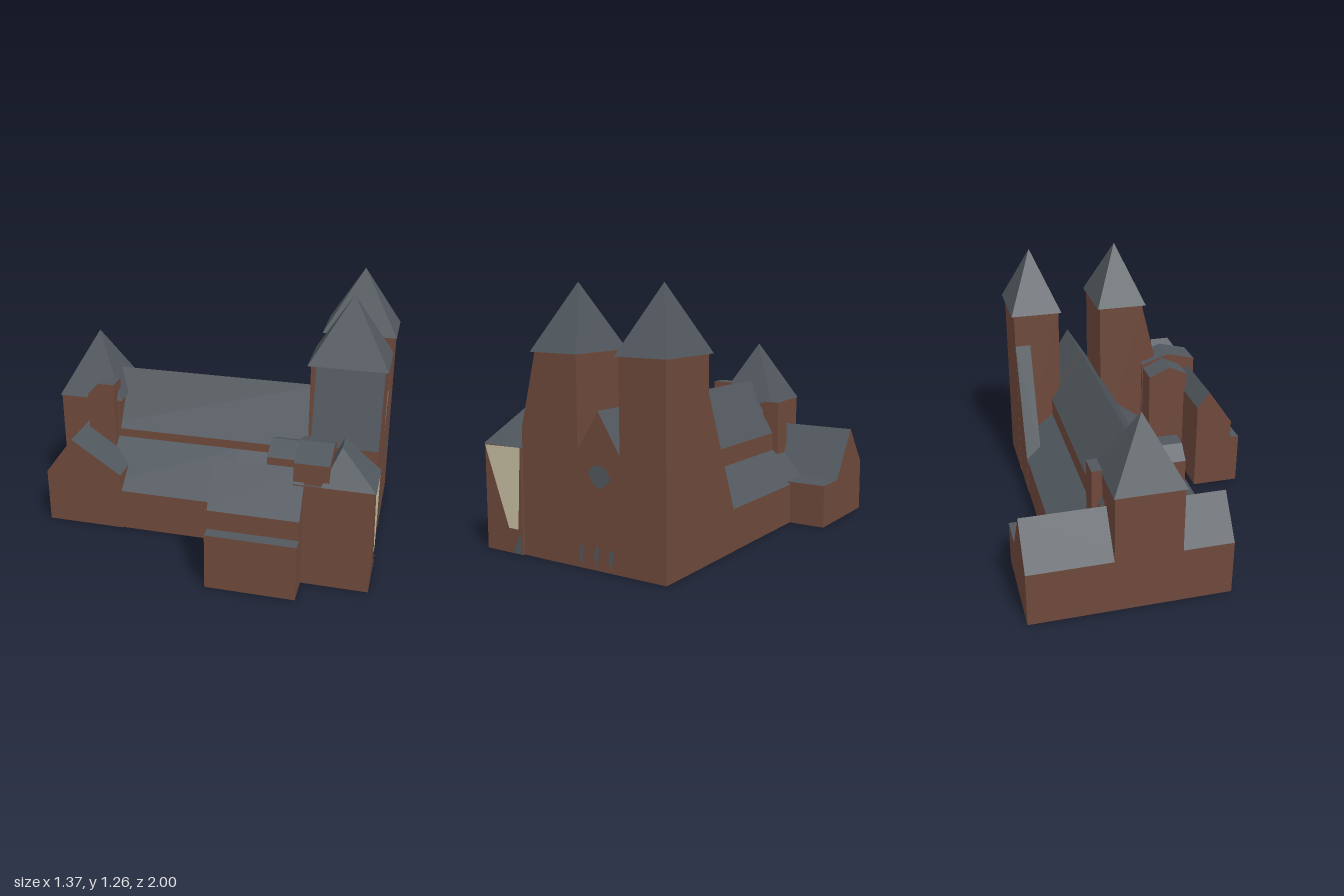
import * as THREE from 'three';

const mat = (name, color) => Object.assign(
  new THREE.MeshStandardMaterial({ color, flatShading: true, side: THREE.DoubleSide }), { name });

export function createModel() {
  const brick = mat('brick', 0x6e493c);
  const slate = mat('slate', 0x50575d);
  const cream = mat('cream stone', 0xc6bda2);
  const church = new THREE.Group();
  church.name = 'church';

  function add(name, geometry, material) {
    const mesh = new THREE.Mesh(geometry, material);
    mesh.name = name;
    church.add(mesh);
  }

  function fromTriangles(tris) {
    const g = new THREE.BufferGeometry();
    g.setAttribute('position', new THREE.Float32BufferAttribute(tris.flat(2), 3));
    g.computeVertexNormals();
    return g;
  }

  // Open-bottomed prism: the profile runs left to right over the top.
  // Vertical edges and end walls are brick, all other edges are slate.
  function prism(name, profile, from, to, along = 'z') {
    const at = (p, t) => (along === 'z' ? [p[0], p[1], t] : [t, p[1], p[0]]);
    const face = (a, b, c) => (along === 'z' ? [a, b, c] : [a, c, b]);
    const walls = [], roofs = [];
    for (let i = 0; i < profile.length - 1; i++) {
      const p = profile[i], q = profile[i + 1];
      const list = Math.abs(q[0] - p[0]) < 1e-4 ? walls : roofs;
      list.push(face(at(p, from), at(p, to), at(q, to)), face(at(p, from), at(q, to), at(q, from)));
    }
    const ring = [...profile].reverse().map(p => new THREE.Vector2(...p));
    const pt = (i, t) => at([ring[i].x, ring[i].y], t);
    for (const [a, b, c] of THREE.ShapeUtils.triangulateShape(ring, [])) {
      walls.push(face(pt(a, to), pt(b, to), pt(c, to)), face(pt(c, from), pt(b, from), pt(a, from)));
    }
    add(name + 'Walls', fromTriangles(walls), brick);
    add(name + 'Roof', fromTriangles(roofs), slate);
  }

  // Hipped roof over a rectangle; equal ridge ends give a pyramid.
  function hip(name, [x0, x1], [z0, z1], y0, [r0, r1], rz, y1) {
    const A = [x0, y0, z1], B = [x1, y0, z1], C = [x1, y0, z0], D = [x0, y0, z0];
    const R = [r0, y1, rz], S = [r1, y1, rz];
    add(name, fromTriangles([[A, B, S], [A, S, R], [B, C, S], [C, D, R], [C, R, S], [D, A, R],
      [A, D, C], [A, C, B]]), slate);
  }

  // Flat-topped block of walls
  const block = (name, [x0, x1], [z0, z1], y) =>
    prism(name, [[x0, 0], [x0, y], [x1, y], [x1, 0]], z0, z1);

  // Thin painted plate on a front wall
  function plate(name, points, z, material) {
    const g = new THREE.ShapeGeometry(new THREE.Shape(points.map(p => new THREE.Vector2(...p))));
    add(name, g.translate(0, 0, z), material);
  }

  // Twin towers with pyramid roofs
  for (const [name, cx] of [['rightTower', -0.19], ['leftTower', 0.281]]) {
    block(name, [cx - 0.12, cx + 0.12], [0.475, 0.812], 0.955);
    hip(name + 'Spire', [cx - 0.135, cx + 0.135], [0.46, 0.825], 0.955, [cx, cx], 0.643, 1.265);
  }

  // Sloping buttresses against the towers
  prism('leftTowerButtress', [[0.25, 0], [0.25, 0.21], [0.475, 0.78], [0.475, 0]], 0.32, 0.4, 'x');
  prism('rightTowerButtress', [[-0.4, 0], [-0.4, 0.6], [-0.31, 0.955], [-0.31, 0]], 0.5, 0.81);

  // Nave with gabled front between the towers
  prism('frontGable', [[-0.07, 0], [-0.07, 0.53], [0.045, 0.715], [0.161, 0.53], [0.161, 0]], 0.47, 0.812);
  prism('nave', [[-0.13, 0.3], [-0.13, 0.44], [0.04, 0.715], [0.21, 0.44], [0.21, 0.3]], -0.66, 0.475);

  // Side aisles under lean-to roofs
  prism('leftAisle', [[0.205, 0.35], [0.398, 0.205], [0.398, 0]], -0.6, 0.475);
  prism('rightAisle', [[-0.37, 0], [-0.37, 0.21], [-0.125, 0.4]], -0.6, 0.1);
  prism('rightAisleEnd', [[-0.315, 0], [-0.315, 0.252], [-0.125, 0.4]], 0.1, 0.475);

  // Transept: a low flat strip in front of a gabled roof
  prism('transeptLeft', [[-0.845, 0], [-0.845, 0.27], [-0.695, 0.47], [-0.523, 0.22], [-0.355, 0.22], [-0.355, 0]],
    0.1, 0.59, 'x');
  prism('transeptRight', [[-0.845, 0], [-0.845, 0.275], [-0.7, 0.47], [-0.56, 0.375], [-0.45, 0.3], [-0.45, 0]],
    -0.375, 0.1, 'x');

  // Choir with a steep spire and small turrets
  block('choir', [-0.13, 0.19], [-0.845, -0.53], 0.6);
  hip('choirSpire', [-0.14, 0.195], [-0.85, -0.515], 0.6, [0.03, 0.03], -0.68, 0.915);
  prism('rightTurret', [[-0.68, 0], [-0.68, 0.64], [-0.62, 0.7], [-0.54, 0.7], [-0.54, 0]], -0.18, -0.08, 'x');
  block('leftTurret', [0.15, 0.24], [-0.62, -0.51], 0.61);

  // Front chapel beside the tower, with the taller blocks behind it
  block('frontChapel', [-0.625, -0.4], [0.46, 0.822], 0.51);
  hip('frontChapelRoof', [-0.628, -0.395], [0.585, 0.828], 0.51, [-0.52, -0.42], 0.66, 0.665);
  prism('rearChapel', [[-0.615, 0], [-0.615, 0.61], [-0.46, 0.65], [-0.31, 0.6], [-0.31, 0]], 0.46, 0.62);
  prism('linkBlock', [[-0.53, 0], [-0.53, 0.58], [-0.43, 0.63], [-0.315, 0.58], [-0.315, 0]], 0.325, 0.47);

  // Low outbuilding with a shelf on its outer side
  prism('outbuilding', [[-0.765, 0], [-0.765, 0.275], [-0.715, 0.28], [-0.715, 0.375], [-0.58, 0.57],
    [-0.517, 0.48], [-0.517, 0]], 0.09, 0.51);

  // Painted front details
  plate('chapelFace', [[-0.623, 0.505], [-0.482, 0.12], [-0.423, 0.12], [-0.402, 0.51]], 0.826, cream);
  plate('roseWindow', [[-0.01, 0.44], [0.02, 0.39], [0.055, 0.37], [0.115, 0.42], [0.09, 0.465], [0.03, 0.48]],
    0.816, slate);
  plate('chapelDoor', [[-0.46, 0.005], [-0.402, 0.005], [-0.402, 0.11]], 0.827, slate);
  for (const [i, x] of [-0.055, 0.03, 0.11].entries()) {
    plate('door' + (i + 1), [[x - 0.015, 0.06], [x + 0.005, 0.01], [x + 0.015, 0.1], [x + 0.005, 0.12]], 0.816, slate);
  }

  // The whole church stands turned on its site
  church.rotation.y = THREE.MathUtils.degToRad(21);
  const model = new THREE.Group();
  model.name = 'model';
  model.add(church);
  return model;
}
